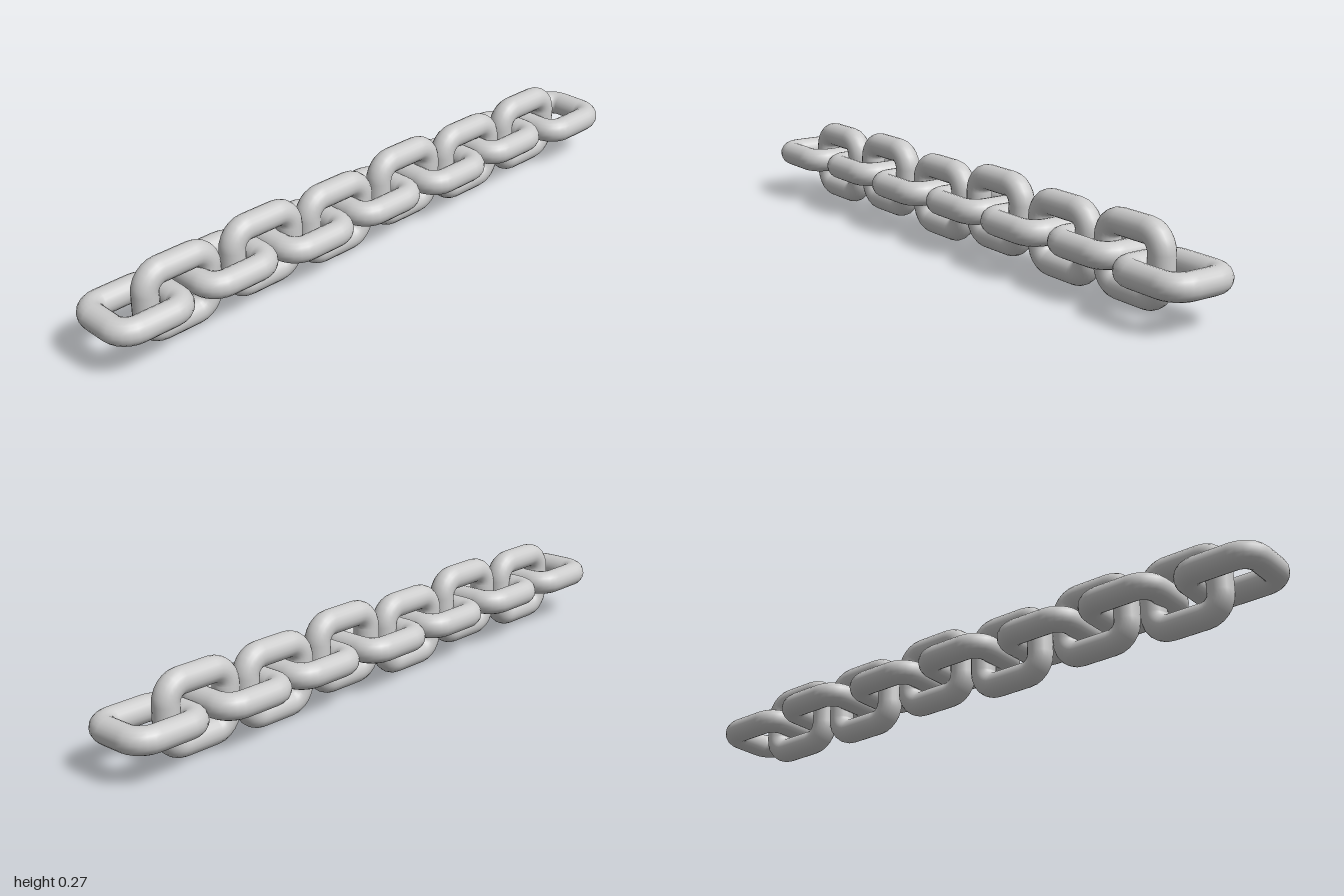
import * as THREE from 'three';

const BAR = 0.0375;        // bar radius
const BEND = 0.05;         // corner radius of the bar's centre line
const HALF_W = 0.087;      // centre line half width
const HALF_L = 0.103;      // centre line half length
const STEPS = 6, SIDES = 20;

// Round bar swept around a rounded rectangle lying in the XZ plane
function linkGeometry() {
  const pos = [], nor = [], idx = [];
  const rings = 4 * (STEPS + 1);
  for (let c = 0; c < 4; c++) {
    const cx = (c === 0 || c === 3 ? 1 : -1) * (HALF_W - BEND);
    const cz = (c < 2 ? 1 : -1) * (HALF_L - BEND);
    for (let k = 0; k <= STEPS; k++) {
      const a = (c + k / STEPS) * Math.PI / 2;
      for (let j = 0; j < SIDES; j++) {
        const t = j / SIDES * Math.PI * 2;
        const out = BEND + BAR * Math.cos(t);
        pos.push(cx + out * Math.cos(a), BAR * Math.sin(t), cz + out * Math.sin(a));
        nor.push(Math.cos(t) * Math.cos(a), Math.sin(t), Math.cos(t) * Math.sin(a));
      }
    }
  }
  for (let i = 0; i < rings; i++) {
    const p = i * SIDES, q = ((i + 1) % rings) * SIDES;
    for (let j = 0; j < SIDES; j++) {
      const n = (j + 1) % SIDES;
      idx.push(p + j, p + n, q + j, p + n, q + n, q + j);
    }
  }
  const g = new THREE.BufferGeometry();
  g.setAttribute('position', new THREE.Float32BufferAttribute(pos, 3));
  g.setAttribute('normal', new THREE.Float32BufferAttribute(nor, 3));
  g.setIndex(idx);
  return g;
}

export function createModel() {
  const group = new THREE.Group();
  group.name = 'chain';
  const geometry = linkGeometry();
  const material = new THREE.MeshStandardMaterial({ color: 0xcccccc });

  // Centres of the slightly uneven links, back to front
  const flat = [
    [-0.002, 0.127, -0.86], [-0.018, 0.138, -0.578], [-0.003, 0.138, -0.294],
    [-0.008, 0.138, -0.009], [0.005, 0.138, 0.278], [0.003, 0.146, 0.562],
    [0.016, 0.142, 0.86],
  ];
  const upright = [
    [-0.01, 0.13, -0.708], [-0.008, 0.126, -0.428], [0, 0.144, -0.142],
    [0, 0.127, 0.143], [0.013, 0.146, 0.431], [0.013, 0.135, 0.724],
  ];
  const addLinks = (centres, name, roll) => centres.forEach((c, i) => {
    const link = new THREE.Mesh(geometry, material);
    link.name = name + (i + 1);
    link.position.set(...c);
    link.rotation.z = roll;
    group.add(link);
  });
  addLinks(flat, 'flatLink', 0);
  addLinks(upright, 'uprightLink', Math.PI / 2);
  return group;
}
